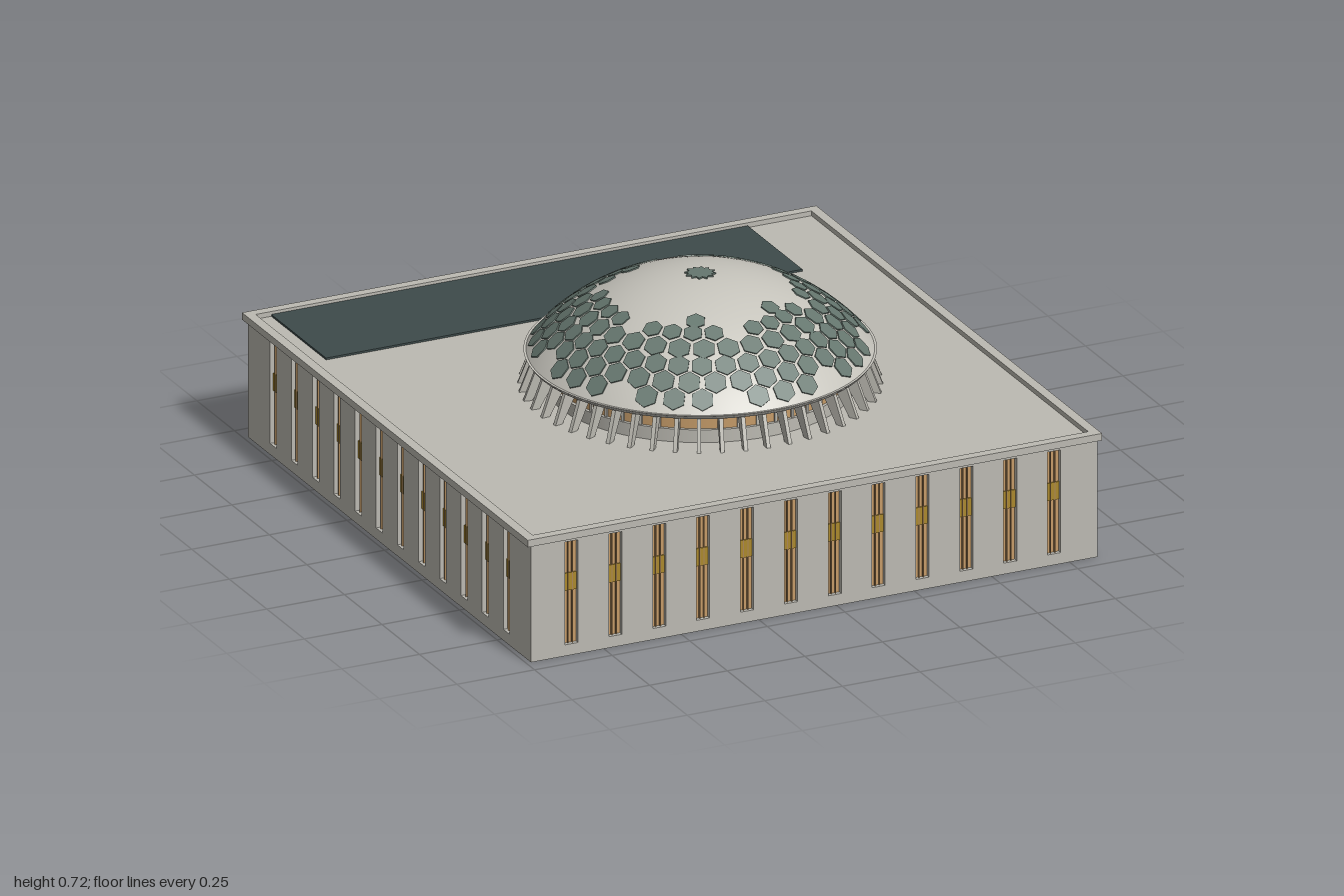
import * as THREE from 'three';

const mat = (name, color) => {
  const m = new THREE.MeshStandardMaterial({ color });
  m.name = name;
  return m;
};

export function createModel() {
  const stone = mat('stone', 0xbcbab2);
  const shell = mat('domeShell', 0xc6c4bc);
  const green = mat('greenPanel', 0x66776f);
  const slate = mat('slateRoof', 0x3e4b4b);
  const tan = mat('tanGlass', 0xc69c69);
  const gold = mat('goldPanel', 0xab892c);
  const bronze = mat('bronzeFrame', 0xa98559);

  const model = new THREE.Group();
  model.name = 'domedHall';
  const add = (parent, name, geo, material, x = 0, y = 0, z = 0) => {
    const m = new THREE.Mesh(geo, material);
    m.name = name;
    m.position.set(x, y, z);
    parent.add(m);
    return m;
  };
  // box given by its limits on each axis
  const box = (parent, name, material, x0, x1, y0, y1, z0, z1) =>
    add(parent, name, new THREE.BoxGeometry(x1 - x0, y1 - y0, z1 - z0), material,
      (x0 + x1) / 2, (y0 + y1) / 2, (z0 + z1) / 2);
  const rect = (P, x0, x1, y0, y1) => new P([
    new THREE.Vector2(x0, y0), new THREE.Vector2(x1, y0),
    new THREE.Vector2(x1, y1), new THREE.Vector2(x0, y1)]);

  // main block
  const X0 = -0.985, X1 = 0.84, Z0 = -0.94, Z1 = 0.945, T = 0.022, H = 0.37, ROOF = 0.375;
  box(model, 'core', stone, X0 + T, X1 - T, 0, H, Z0, Z1 - T);
  box(model, 'roof', stone, X0, X1, H, ROOF, Z0, Z1);

  // wall with recessed windows, built facing +z
  const wall = (name, u0, u1, windows) => {
    const g = new THREE.Group();
    g.name = name;
    const s = rect(THREE.Shape, u0, u1, 0, H);
    for (const w of windows) {
      const a = w.u - w.w / 2, b = w.u + w.w / 2;
      s.holes.push(rect(THREE.Path, a, b, w.y0, w.y1));
      box(g, 'windowGlass', tan, a, b, w.y0, w.y1, 0, 0.008);
      if (w.tall) box(g, 'windowSpandrel', gold, a, b, 0.2, 0.255, 0.008, 0.012);
      const n = w.tall ? 3 : 5;
      for (let i = 1; i < n; i++) {
        const u = a + (b - a) * i / n;
        box(g, 'mullion', bronze, u - 0.0015, u + 0.0015, w.y0, w.y1, 0.008, 0.014);
      }
    }
    add(g, 'wallPanel', new THREE.ExtrudeGeometry(s, { depth: T, bevelEnabled: false }), stone);
    model.add(g);
    return g;
  };
  const slits = (start) => Array.from({ length: 12 }, (_, i) =>
    ({ u: start + i * 0.1413, w: 0.042, y0: 0.035, y1: 0.358, tall: true }));

  wall('frontWall', X0, X1, slits(-0.854)).position.z = Z1 - T;

  const left = wall('rightWall', Z0, Z1 - T, slits(-0.772));
  left.rotation.y = -Math.PI / 2;
  left.position.x = X0 + T;

  // entrance wall: three bays of low windows replace the middle slits
  const entry = slits(-0.782).filter((_, i) => i < 4 || i > 6);
  for (const u of [-0.203, -0.076, 0.05])
    for (const [y0, y1] of [[0.035, 0.122], [0.145, 0.205], [0.267, 0.338]])
      entry.push({ u, w: 0.106, y0, y1 });
  const right = wall('leftWall', -(Z1 - T), -Z0, entry);
  right.rotation.y = Math.PI / 2;
  right.position.x = X1 - T;

  // parapet
  const rim = rect(THREE.Shape, -1, 0.85, -0.955, 0.95);
  rim.holes.push(rect(THREE.Path, -0.97, 0.82, -0.925, 0.92));
  const parapet = add(model, 'parapet',
    new THREE.ExtrudeGeometry(rim, { depth: 0.022, bevelEnabled: false }), stone, 0, 0.368, 0);
  parapet.rotation.x = -Math.PI / 2;

  box(model, 'roofPanel', slate, -0.92, 0.615, ROOF, ROOF + 0.006, -0.92, -0.555);

  // entrance canopy
  box(model, 'canopy', stone, X1, 1, 0.135, 0.146, -0.07, 0.213);
  for (const z of [-0.045, 0.197])
    box(model, 'canopyPost', stone, 0.974, 0.986, 0, 0.135, z - 0.006, z + 0.006);

  // dome
  const dome = new THREE.Group();
  dome.name = 'dome';
  dome.position.set(-0.018, 0, 0.073);
  model.add(dome);
  const R = 0.66, CY = 0.06, EDGE = 0.51, BASE = 0.48;
  const cap = new THREE.SphereGeometry(R, 96, 24, 0, Math.PI * 2, 0, Math.asin(EDGE / R));
  add(dome, 'domeShell', cap, shell, 0, CY, 0);
  add(dome, 'domeRim', new THREE.CylinderGeometry(0.513, 0.505, 0.012, 96), shell, 0, BASE - 0.002, 0);
  add(dome, 'drumBase', new THREE.CylinderGeometry(0.45, 0.45, 0.04, 96), stone, 0, 0.395, 0);
  add(dome, 'drumGlass', new THREE.CylinderGeometry(0.44, 0.44, 0.06, 96, 1, true), tan, 0, 0.445, 0);

  // leaning ribs and window posts around the drum
  const ribShape = new THREE.Shape([[0.505, ROOF], [0.53, ROOF], [0.492, BASE - 0.005], [0.445, BASE - 0.005]]
    .map(p => new THREE.Vector2(...p)));
  const ribGeo = new THREE.ExtrudeGeometry(ribShape, { depth: 0.012, bevelEnabled: false });
  ribGeo.translate(0, 0, -0.006);
  const postGeo = new THREE.BoxGeometry(0.012, 0.06, 0.008).translate(0.44, 0.445, 0);
  for (let i = 0; i < 48; i++) {
    const a = (i + 0.5) / 48 * Math.PI * 2;
    add(dome, 'rib', ribGeo, stone).rotation.y = a;
    add(dome, 'drumPost', postGeo, stone).rotation.y = a;
  }

  // hexagonal panels lying on the shell
  const up = new THREE.Vector3(0, 1, 0);
  const hex = (r, a, size) => {
    const n = new THREE.Vector3(Math.sin(a) * r, Math.sqrt(R * R - r * r), Math.cos(a) * r).divideScalar(R);
    const m = add(dome, 'hexPanel', new THREE.CylinderGeometry(size, size, 0.006, 6), green);
    m.position.copy(n).multiplyScalar(R).add(new THREE.Vector3(0, CY, 0));
    m.quaternion.setFromUnitVectors(up, n).multiply(new THREE.Quaternion().setFromAxisAngle(up, a));
  };
  [[0.474, 36], [0.435, 36], [0.392, 36], [0.343, 30], [0.292, 30]].forEach(([r, n], row) => {
    for (let i = 0; i < n; i++) {
      if (row === 0 && i % 4 === 2) continue;
      if (row === 4 && i % 5 === 4) continue;
      hex(r, (i + (row % 2 ? 0 : 0.5)) / n * Math.PI * 2, Math.min(0.035, Math.PI * r / n * 0.98));
    }
  });
  for (const [sx, sz] of [[1, 1], [1, -1], [-1, 1], [-1, -1]]) hex(0.248, Math.atan2(sx * 0.12, sz * 0.217), 0.03);

  // star at the crown
  const star = new THREE.Shape(Array.from({ length: 24 }, (_, i) => {
    const r = i % 2 ? 0.034 : 0.046, a = i / 24 * Math.PI * 2;
    return new THREE.Vector2(Math.cos(a) * r, Math.sin(a) * r);
  }));
  const crown = add(dome, 'crownStar',
    new THREE.ExtrudeGeometry(star, { depth: 0.006, bevelEnabled: false }), green, 0, CY + R - 0.003, 0);
  crown.rotation.x = -Math.PI / 2;

  return model;
}
